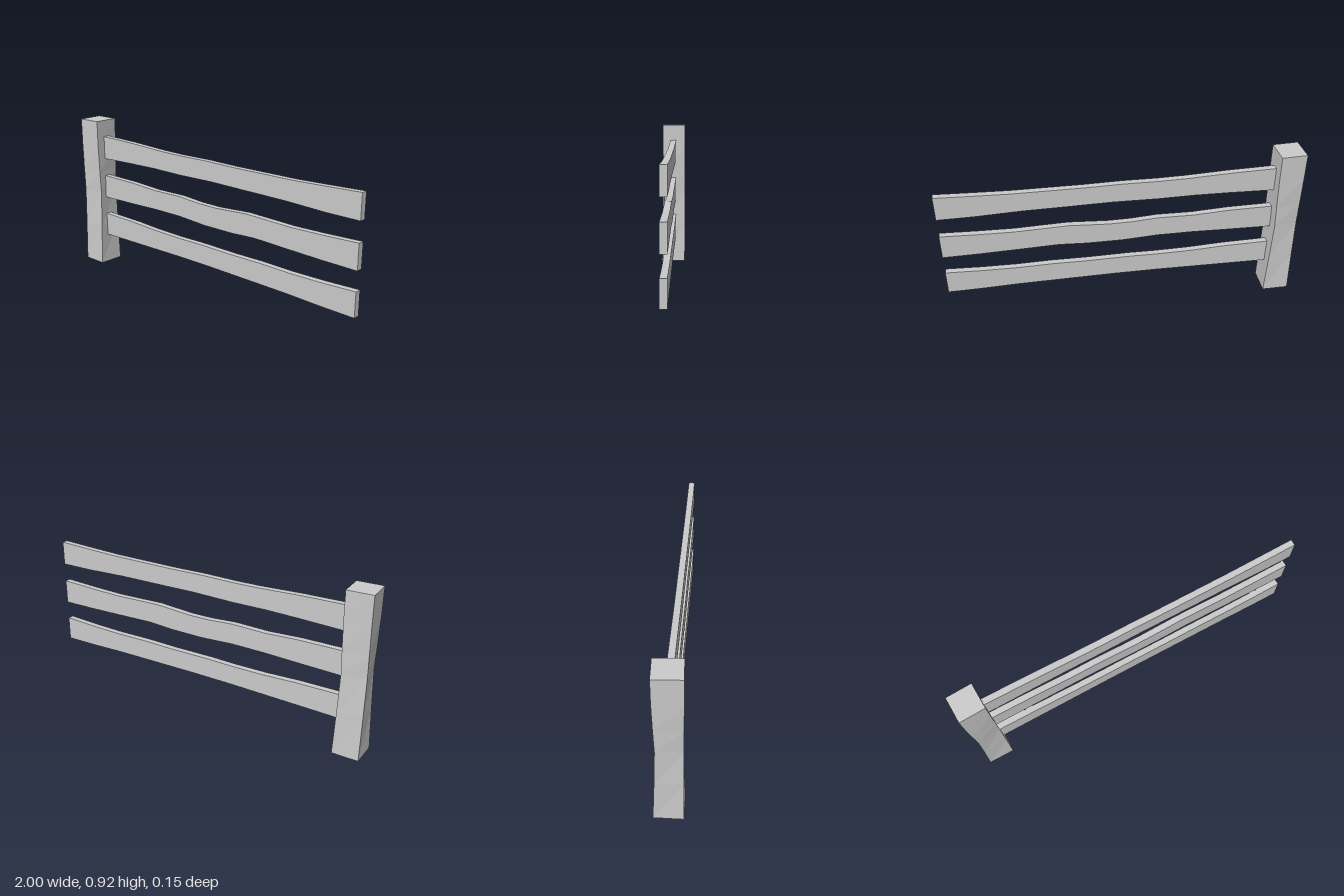
import * as THREE from 'three';

const material = new THREE.MeshStandardMaterial({ color: 0xcccccc, flatShading: true });

// Square post whose four edges each lean in along one face, pinwheel fashion
function makePost() {
  const levels = [[0, 0], [0.25, 0.01], [0.47, 0.017], [0.6, 0.012], [0.77, 0.007], [0.92, 0.006]];
  const n = levels.length - 1;
  const geo = new THREE.BoxGeometry(0.15, n, 0.154, 1, n, 1);
  const p = geo.attributes.position;
  for (let i = 0; i < p.count; i++) {
    const [y, inset] = levels[Math.round(p.getY(i) + n / 2)];
    let x = p.getX(i), z = p.getZ(i);
    if (x * z > 0) z -= Math.sign(z) * inset;
    else x -= Math.sign(x) * inset;
    p.setXYZ(i, x, y, z);
  }
  geo.computeVertexNormals();
  const post = new THREE.Mesh(geo, material);
  post.name = 'post';
  post.position.x = -0.925;
  return post;
}

// Flat board with uneven upper and lower edges, starting just inside the post
function makeRail(name, top, bottom) {
  const outline = [...top, ...bottom.slice().reverse()].map(([x, y]) => new THREE.Vector2(x, y));
  const geo = new THREE.ExtrudeGeometry(new THREE.Shape(outline), { depth: 0.036, bevelEnabled: false });
  geo.translate(0, 0, -0.018);
  const rail = new THREE.Mesh(geo, material);
  rail.name = name;
  return rail;
}

export function createModel() {
  const group = new THREE.Group();
  group.name = 'fenceSection';
  group.add(makePost());

  group.add(makeRail('upperRail',
    [[-0.88, 0.82], [-0.6, 0.815], [-0.35, 0.805], [-0.2, 0.803], [0, 0.806], [0.2, 0.803], [0.6, 0.805], [0.8, 0.812], [1, 0.82]],
    [[-0.88, 0.679], [-0.6, 0.688], [-0.4, 0.692], [-0.2, 0.69], [0.05, 0.695], [0.3, 0.692], [0.55, 0.69], [0.8, 0.681], [1, 0.68]]));

  group.add(makeRail('middleRail',
    [[-0.88, 0.57], [-0.6, 0.568], [-0.4, 0.558], [-0.2, 0.562], [-0.05, 0.552], [0.08, 0.551], [0.3, 0.565], [0.6, 0.557], [0.8, 0.562], [1, 0.57]],
    [[-0.88, 0.429], [-0.6, 0.436], [-0.4, 0.442], [-0.2, 0.443], [0, 0.432], [0.2, 0.433], [0.36, 0.442], [0.6, 0.435], [0.8, 0.43], [1, 0.428]]));

  group.add(makeRail('lowerRail',
    [[-0.88, 0.32], [-0.6, 0.317], [-0.4, 0.308], [-0.2, 0.306], [-0.05, 0.309], [0.2, 0.307], [0.4, 0.31], [0.6, 0.307], [0.8, 0.311], [1, 0.32]],
    [[-0.88, 0.18], [-0.6, 0.185], [-0.2, 0.192], [0.05, 0.193], [0.4, 0.19], [0.6, 0.188], [0.8, 0.182], [1, 0.18]]));

  return group;
}
